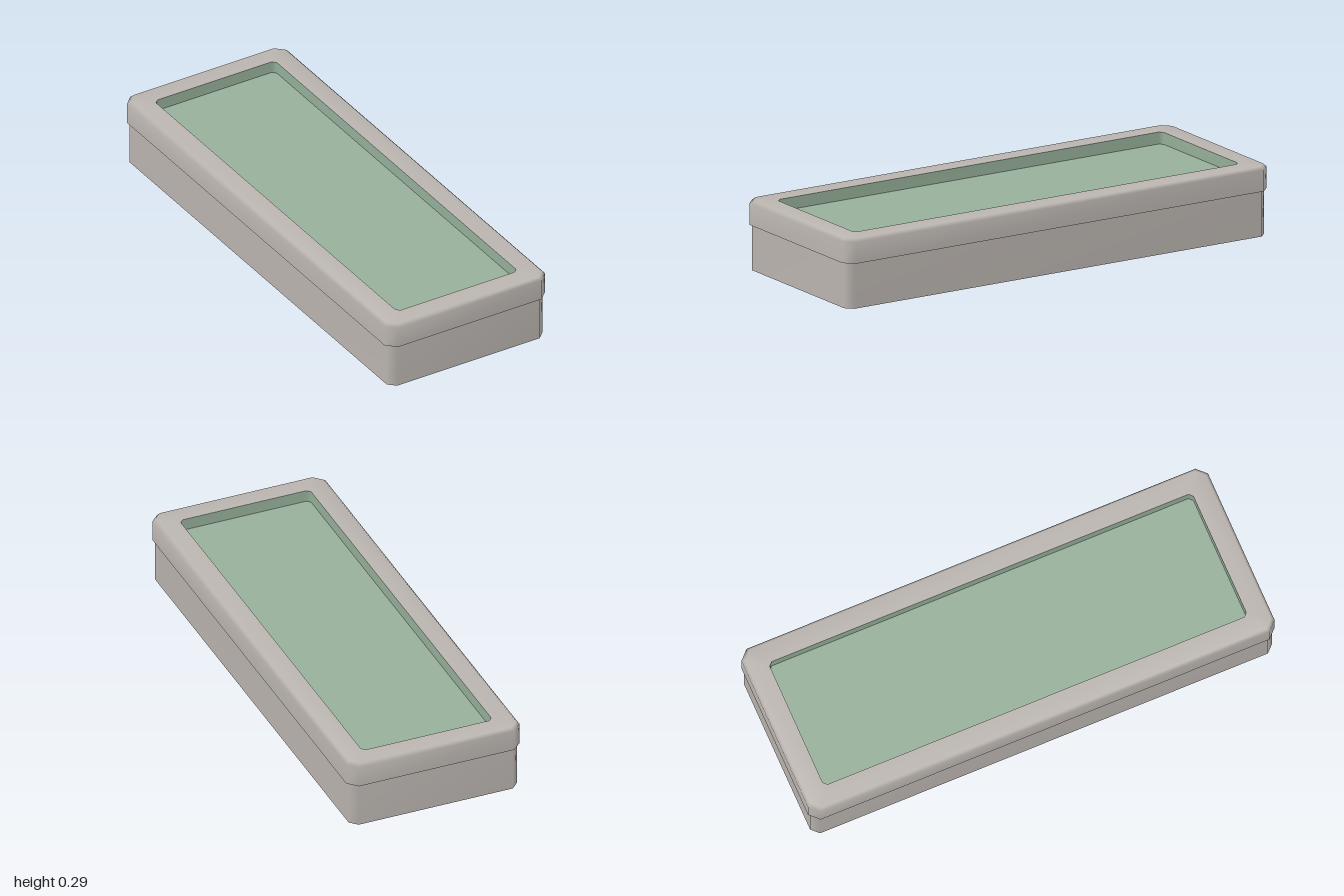
import * as THREE from 'three';

const grey = new THREE.MeshStandardMaterial({ color: 0xbcb6b1, side: THREE.DoubleSide });
grey.name = 'warm grey';
const green = new THREE.MeshStandardMaterial({ color: 0x97b19b, side: THREE.DoubleSide });
green.name = 'sage green';

// Rectangle with cut corners, counter-clockwise seen from above: [x, -z] pairs
function outline(hx, hz, cut) {
  return [
    [hx, -hz + cut], [hx, hz - cut], [hx - cut, hz], [-hx + cut, hz],
    [-hx, hz - cut], [-hx, -hz + cut], [-hx + cut, -hz], [hx - cut, -hz],
  ];
}

// Smooth skin through a list of rings [halfX, halfZ, cornerCut, y]
function loft(rings) {
  const pos = [], index = [], n = 8;
  for (const [hx, hz, cut, y] of rings) {
    for (const [x, v] of outline(hx, hz, cut)) pos.push(x, y, -v);
  }
  for (let i = 0; i < rings.length - 1; i++) {
    for (let j = 0; j < n; j++) {
      const a = i * n + j, b = i * n + (j + 1) % n;
      index.push(a, b, b + n, a, b + n, a + n);
    }
  }
  const geo = new THREE.BufferGeometry();
  geo.setAttribute('position', new THREE.Float32BufferAttribute(pos, 3));
  geo.setIndex(index);
  geo.computeVertexNormals();
  return geo;
}

export function createModel() {
  const group = new THREE.Group();
  group.name = 'tray';
  const add = (name, geo, mat) => {
    const mesh = new THREE.Mesh(geo, mat);
    mesh.name = name;
    group.add(mesh);
    return mesh;
  };

  // Thin skirt, open underneath
  add('baseWall', loft([[0.361, 0.99, 0.03, 0], [0.361, 0.99, 0.03, 0.187]]), grey);

  // Overhanging frame with bevelled top edge
  add('frame', loft([
    [0.372, 1, 0.038, 0.187],
    [0.372, 1, 0.038, 0.275],
    [0.36, 0.988, 0.034, 0.287],
    [0.28, 0.908, 0.015, 0.287],
  ]), grey);
  add('frameLip', loft([[0.361, 0.99, 0.03, 0.187], [0.372, 1, 0.038, 0.187]]), grey);

  // Recess walls inside the frame
  add('recessWall', loft([[0.28, 0.908, 0.015, 0.287], [0.28, 0.908, 0.015, 0.238]]), green);

  // Panel forming the recess floor and closing the underside
  const shape = new THREE.Shape(outline(0.36, 0.989, 0.03).map(([x, v]) => new THREE.Vector2(x, v)));
  const panel = new THREE.ExtrudeGeometry(shape, { depth: 0.053, bevelEnabled: false });
  panel.rotateX(-Math.PI / 2);
  add('panel', panel, green).position.y = 0.185;

  return group;
}
